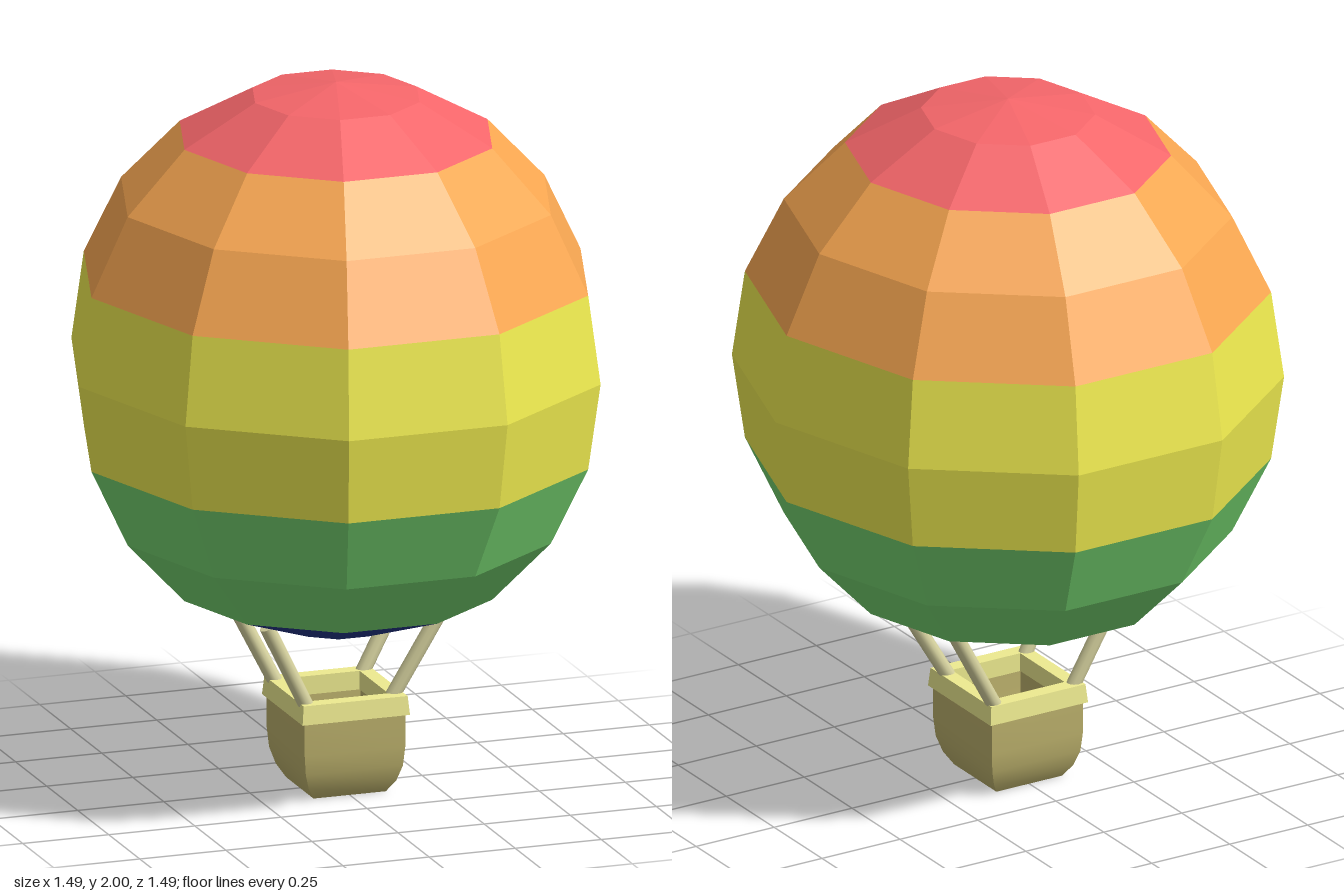
import * as THREE from 'three';
import { toCreasedNormals } from 'three/addons/utils/BufferGeometryUtils.js';

const V = (x, y) => new THREE.Vector2(x, y);
const material = (color, flatShading = false) => new THREE.MeshStandardMaterial({ color, flatShading });

function addMesh(parent, name, geometry, mat) {
  const mesh = new THREE.Mesh(geometry, mat);
  mesh.name = name;
  parent.add(mesh);
  return mesh;
}

// Square cross-section swept along a [halfWidth, y] profile
function squareLathe(profile, depthScale) {
  const points = profile.map(([h, y]) => V(h * Math.SQRT2, y));
  const geometry = new THREE.LatheGeometry(points, 4, Math.PI / 4).scale(1, 1, depthScale);
  return toCreasedNormals(geometry, 0.85);
}

export function createModel() {
  const model = new THREE.Group();
  model.name = 'hotAirBalloon';

  // Envelope: ten-sided faceted bands, [radius, y] from the mouth up
  const envelope = new THREE.Group();
  envelope.name = 'envelope';
  envelope.scale.z = 1.05;
  model.add(envelope);
  const bands = [
    ['mouthBand', 0x25368c, [[0.14, 0.455], [0.44, 0.565]]],
    ['lowerBand', 0x78d872, [[0.44, 0.565], [0.605, 0.74], [0.71, 0.96]]],
    ['middleBand', 0xf0ec50, [[0.71, 0.96], [0.745, 1.205], [0.71, 1.455]]],
    ['upperBand', 0xfaa852, [[0.71, 1.455], [0.605, 1.675], [0.44, 1.85]]],
    ['crownBand', 0xf5666a, [[0.44, 1.85], [0.235, 1.963], [0, 2]]],
  ];
  for (const [name, color, profile] of bands) {
    const points = profile.map(([r, y]) => V(r, y));
    addMesh(envelope, name, new THREE.LatheGeometry(points, 10, Math.PI / 2), material(color, true));
  }

  // Grey disc closing the mouth
  const mouth = addMesh(envelope, 'mouthCap', new THREE.CircleGeometry(0.14, 10), material(0xcccccc));
  mouth.rotation.x = Math.PI / 2;
  mouth.position.y = 0.455;

  // Hollow basket with a rounded lower edge
  const basket = new THREE.Group();
  basket.name = 'basket';
  model.add(basket);
  addMesh(basket, 'basketBody', squareLathe([
    [0, 0.005], [0.105, 0.005], [0.127, 0.04], [0.141, 0.085], [0.146, 0.14], [0.146, 0.26],
    [0.115, 0.26], [0.115, 0.14], [0.1, 0.035], [0, 0.035],
  ], 1.05), material(0xbcb16c));
  addMesh(basket, 'basketRim', squareLathe([
    [0.11, 0.232], [0.156, 0.232], [0.151, 0.285], [0.11, 0.285], [0.11, 0.232],
  ], 1.05), material(0xeeeb90));

  // Four slanted struts, [bottom, top]
  const struts = [
    [[0.125, 0.27, 0.108], [0.268, 0.517, 0.125]],
    [[0.125, 0.27, -0.134], [0.268, 0.522, -0.16]],
    [[-0.13, 0.27, 0.122], [-0.25, 0.51, 0.137]],
    [[-0.13, 0.27, -0.128], [-0.25, 0.51, -0.15]],
  ];
  const strutMaterial = material(0xd8d4a0);
  for (const [bottom, top] of struts) {
    const a = new THREE.Vector3(...bottom);
    const b = new THREE.Vector3(...top);
    const direction = b.clone().sub(a);
    const strut = addMesh(model, 'strut',
      new THREE.CylinderGeometry(0.021, 0.021, direction.length(), 10), strutMaterial);
    strut.position.copy(a).lerp(b, 0.5);
    strut.quaternion.setFromUnitVectors(new THREE.Vector3(0, 1, 0), direction.normalize());
  }

  // Rest the basket floor on the ground
  basket.position.y = -0.005;
  return model;
}
